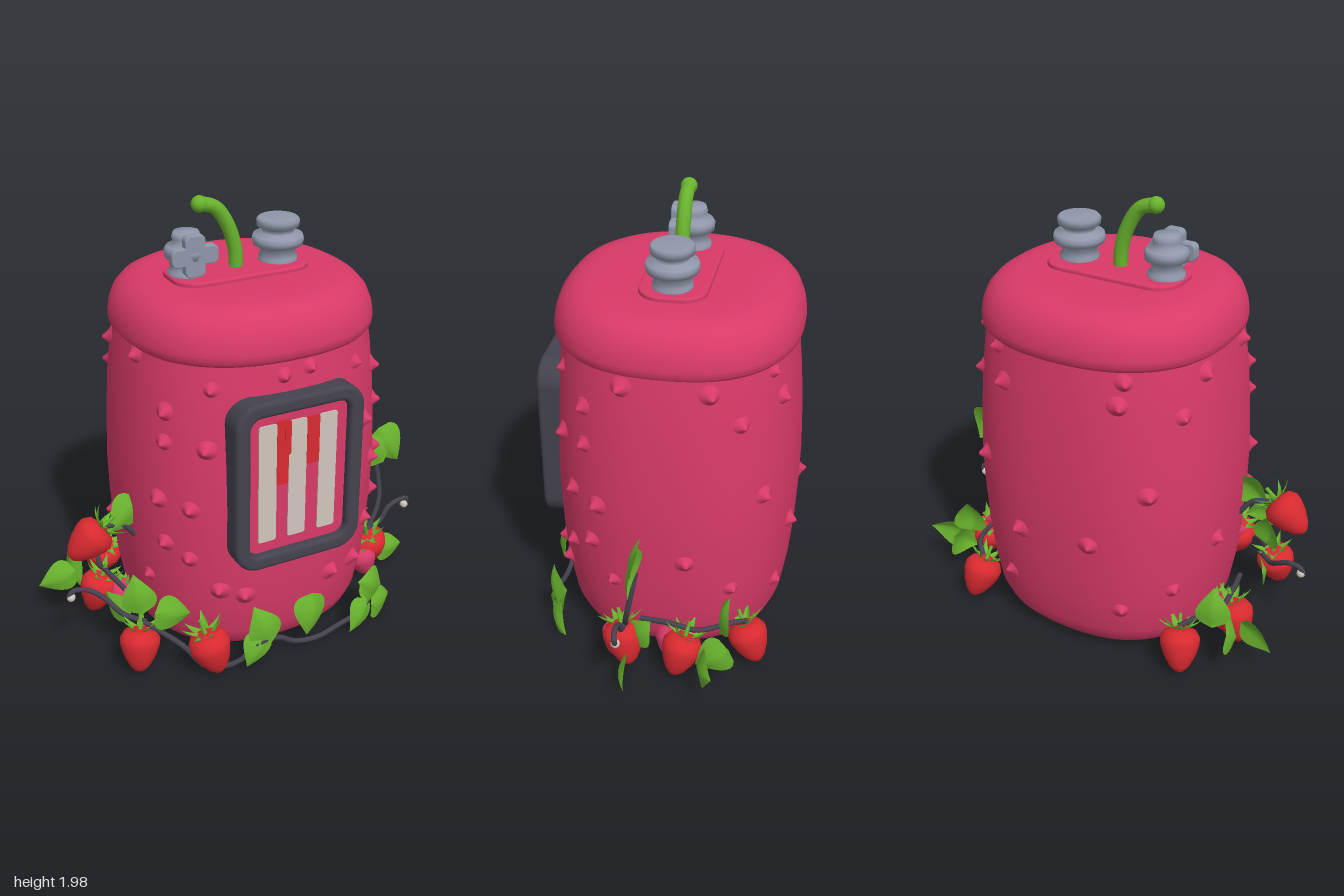
import * as THREE from 'three';
import { mergeVertices } from 'three/addons/utils/BufferGeometryUtils.js';

const mat = (name, color, side = THREE.FrontSide) => {
  const m = new THREE.MeshStandardMaterial({ color, side });
  m.name = name;
  return m;
};
const V = (x, y, z) => new THREE.Vector3(x, y, z);
const pts = (list) => list.map(([x, y]) => new THREE.Vector2(x, y));
const rad = THREE.MathUtils.degToRad;

const CX = 0.015, CZ = -0.035, POWER = 2.35;
// Rounded-square factor that turns a circle into the tank's plan shape
const planScale = (angle, depth) =>
  Math.pow(Math.abs(Math.sin(angle)) ** POWER + Math.abs(Math.cos(angle) / depth) ** POWER, -1 / POWER);

function squareLathe(profile, depth) {
  const g = new THREE.LatheGeometry(pts(profile), 72);
  const p = g.attributes.position;
  for (let i = 0; i < p.count; i++) {
    const f = planScale(Math.atan2(p.getX(i), p.getZ(i)), depth);
    p.setX(i, p.getX(i) * f);
    p.setZ(i, p.getZ(i) * f);
  }
  g.deleteAttribute('uv');
  g.deleteAttribute('normal');
  const merged = mergeVertices(g, 1e-4);
  merged.computeVertexNormals();
  return merged.translate(CX, 0, CZ);
}

function roundedRect(target, w, h, r) {
  target.moveTo(-w + r, -h);
  target.lineTo(w - r, -h).absarc(w - r, -h + r, r, -Math.PI / 2, 0, false);
  target.lineTo(w, h - r).absarc(w - r, h - r, r, 0, Math.PI / 2, false);
  target.lineTo(-w + r, h).absarc(-w + r, h - r, r, Math.PI / 2, Math.PI, false);
  target.lineTo(-w, -h + r).absarc(-w + r, -h + r, r, Math.PI, Math.PI * 1.5, false);
  return target;
}

// Folded, pointed leaf centred on its own middle, tip along +y
function leafGeometry(width) {
  const g = new THREE.PlaneGeometry(2, 1, 6, 10);
  const p = g.attributes.position;
  for (let i = 0; i < p.count; i++) {
    const v = p.getY(i) + 0.5;
    const x = p.getX(i) * width * Math.sin(Math.PI * Math.pow(v, 0.6));
    p.setXYZ(i, x, v - 0.5 - 0.1 * Math.abs(p.getX(i)) * (1 - v), 0.12 - 0.35 * Math.abs(x) - 0.5 * (v - 0.4) ** 2);
  }
  g.computeVertexNormals();
  return g;
}

export function createModel() {
  const root = new THREE.Group();
  const pink = mat('pink', 0xd93a68);
  const red = mat('berry red', 0xd92a30);
  const green = mat('leaf green', 0x69b32d, THREE.DoubleSide);
  const grey = mat('metal grey', 0x8f97aa);
  const dark = mat('dark frame', 0x44424d);
  const cream = mat('cream', 0xd0c7bb);
  const add = (name, geo, material, parent = root) => {
    const m = new THREE.Mesh(geo, material);
    m.name = name;
    parent.add(m);
    return m;
  };
  const tube = (name, points, r, material) =>
    add(name, new THREE.TubeGeometry(new THREE.CatmullRomCurve3(points.map((q) => V(...q))), 28, r, 10), material);

  // Tank body and overhanging cap
  const bodyProfile = [[0, 0.02], [0.34, 0.02], [0.42, 0.022], [0.47, 0.035], [0.51, 0.075], [0.54, 0.14], [0.565, 0.28],
    [0.582, 0.45], [0.592, 0.65], [0.595, 0.8], [0.588, 1.0], [0.575, 1.2], [0.558, 1.35], [0.54, 1.47]];
  add('body', squareLathe(bodyProfile, 0.91), pink);
  add('cap', squareLathe([[0.5, 1.43], [0.54, 1.432], [0.555, 1.45], [0.558, 1.48], [0.55, 1.53], [0.53, 1.58],
    [0.495, 1.62], [0.45, 1.643], [0.4, 1.652], [0.3, 1.655], [0, 1.655]], 0.95), pink);

  // Pointed pimples standing out of the tank wall
  const bumpGeo = new THREE.LatheGeometry(pts([[0.055, -0.012], [0.036, 0.002], [0.022, 0.013], [0.012, 0.026], [0.005, 0.034], [0, 0.035]]), 14);
  const radiusAt = (y) => {
    const i = Math.max(1, bodyProfile.findIndex((q) => q[1] >= y));
    const [a, b] = [bodyProfile[i - 1], bodyProfile[i]];
    return a[0] + ((b[0] - a[0]) * (y - a[1])) / (b[1] - a[1]);
  };
  const bumps = [[36, 1.33], [41, 1.05], [50, 0.82], [47, 0.52], [22, 0.36], [8, 1.38], [38, 0.36], [56, 1.24], [57, 1.07],
    [64, 0.8], [70, 0.42], [74, 1.38], [102, 0.57], [125, 1.22], [136, 0.85], [122, 0.4], [150, 1.26], [112, 1.37],
    [144, 1.4], [160, 0.58], [150, 0.3], [60, 0.6]];
  for (const side of [1, -1]) bumps.forEach(([deg, y0], i) => {
    const y = y0 + (side < 0 ? 0.03 * Math.sin(i * 2.4) : 0);
    const a = rad(deg + (side < 0 ? 3 * Math.cos(i * 1.7) : 0)) * side;
    const r = radiusAt(y) * planScale(a, 0.91);
    const n = V(Math.sin(a), 0, Math.cos(a) / 0.91).normalize();
    const bump = add('bump', bumpGeo, pink);
    bump.position.set(CX + r * Math.sin(a), y, CZ + r * Math.cos(a));
    bump.quaternion.setFromUnitVectors(V(0, 1, 0), n);
    bump.scale.setScalar(0.8 + 0.3 * Math.abs(Math.sin(i * 1.9)));
  });

  // Window: rounded frame, panel, bars and drips
  const win = new THREE.Group();
  win.name = 'window';
  win.position.set(0.01, 0.908, 0);
  root.add(win);
  const frameShape = roundedRect(new THREE.Shape(), 0.28, 0.372, 0.09);
  frameShape.holes.push(roundedRect(new THREE.Path(), 0.252, 0.344, 0.07));
  add('windowFrame', new THREE.ExtrudeGeometry(frameShape, { depth: 0.09, bevelSize: 0.02, bevelThickness: 0.02, bevelSegments: 4, curveSegments: 8 })
    .translate(0, 0, 0.435), dark, win);
  add('windowPanel', new THREE.ExtrudeGeometry(roundedRect(new THREE.Shape(), 0.25, 0.342, 0.07), { depth: 0.07, bevelEnabled: false })
    .translate(0, 0, 0.438), pink, win);
  const plate = (name, x, y, w, h, z, m) => {
    const g = new THREE.ExtrudeGeometry(roundedRect(new THREE.Shape(), w / 2, h / 2, 0.012), { depth: 0.005, bevelEnabled: false });
    add(name, g, m, win).position.set(x, y, z);
  };
  for (const x of [-0.142, -0.002, 0.142]) plate('windowBar', x, 0, 0.084, 0.55, 0.508, cream);
  plate('redDrip', -0.073, 0.135, 0.056, 0.3, 0.509, red);
  plate('redDrip', 0.07, 0.165, 0.06, 0.22, 0.509, red);
  plate('redDrip', -0.05, 0.2, 0.03, 0.16, 0.511, red);

  // Raised deck on top with stem and two metal fittings
  const deck = new THREE.ExtrudeGeometry(roundedRect(new THREE.Shape(), 0.305, 0.135, 0.1), { depth: 0.03, bevelSize: 0.01, bevelThickness: 0.008, bevelSegments: 2 });
  add('topDeck', deck.rotateX(-Math.PI / 2), pink).position.set(0, 1.637, -0.035);
  tube('stem', [[-0.005, 1.65, -0.03], [-0.008, 1.74, -0.03], [-0.04, 1.85, -0.03], [-0.1, 1.94, -0.03], [-0.17, 1.966, -0.03]], 0.031, green);
  add('stemTip', new THREE.SphereGeometry(0.036, 14, 10), green).position.set(-0.172, 1.964, -0.03);
  add('knob', new THREE.LatheGeometry(pts([[0.085, 1.66], [0.085, 1.69], [0.075, 1.695], [0.08, 1.735], [0.108, 1.745], [0.113, 1.765],
    [0.108, 1.785], [0.07, 1.795], [0.07, 1.815], [0.092, 1.825], [0.094, 1.85], [0.085, 1.86], [0, 1.862]]), 24), grey).position.set(0.197, 0, -0.03);
  add('valveBody', new THREE.LatheGeometry(pts([[0.08, 1.66], [0.08, 1.69], [0.062, 1.7], [0.066, 1.74], [0.092, 1.75], [0.095, 1.78],
    [0.085, 1.795], [0.055, 1.805], [0.062, 1.83], [0.055, 1.855], [0, 1.86]]), 24), grey).position.set(-0.23, 0, -0.04);
  const cross = (w, h) => add('valveHandle', new THREE.ExtrudeGeometry(roundedRect(new THREE.Shape(), w, h, 0.02),
    { depth: 0.03, bevelSize: 0.006, bevelThickness: 0.006, bevelSegments: 2 }), grey).position.set(-0.228, 1.77, 0.015);
  cross(0.1, 0.034);
  cross(0.04, 0.085);

  // Strawberries with leafy crowns: x, y, z, lean about x, lean about z, size, material
  const berryGeo = new THREE.LatheGeometry(pts([[0, -0.105], [0.02, -0.1], [0.045, -0.075], [0.07, -0.03], [0.087, 0.02], [0.088, 0.05],
    [0.07, 0.08], [0.035, 0.092], [0, 0.088]]), 20);
  const sepalGeo = leafGeometry(0.16);
  const berry = (x, y, z, rx, rz, s, m) => {
    const g = new THREE.Group();
    g.name = 'strawberry';
    g.position.set(x, y, z);
    g.rotation.set(rx, 0, rz);
    g.scale.setScalar(s);
    root.add(g);
    add('berryFruit', berryGeo, m, g);
    for (let i = 0; i < 7; i++) {
      const arm = new THREE.Group();
      arm.name = 'sepalArm';
      arm.rotation.y = (i * Math.PI * 2) / 7;
      g.add(arm);
      const sepal = add('sepal', sepalGeo, green, arm);
      sepal.scale.setScalar(0.11);
      sepal.position.set(0, 0.105 + 0.012 * (i % 2), 0.05);
      sepal.rotation.x = 1.3 - 0.35 * (i % 2);
    }
    add('berryStalk', new THREE.CylinderGeometry(0.008, 0.01, 0.07, 8), green, g).position.y = 0.12;
  };
  [[-0.79, 0.595, 0.11, 0.1, -0.9, 1], [-0.66, 0.14, 0.34, -0.25, -0.15, 1], [-0.38, 0.125, 0.48, -0.2, 0.25, 1.05],
    [-0.67, 0.14, -0.15, 0.1, -0.3, 1], [-0.54, 0.13, -0.44, 0.4, -0.2, 1], [0.53, 0.13, -0.44, 0.4, 0.2, 1],
    [0.68, 0.14, -0.15, -0.25, 0.3, 1], [0.66, 0.15, 0.1, 0.25, 0.3, 1.02]].forEach((b) => berry(...b, red));
  [[-0.57, 0.12, -0.1, 0.2, -0.3, 0.85], [0.6, 0.11, 0.15, -0.1, 0.3, 0.8], [0.59, 0.12, -0.1, 0, 0.3, 0.85]].forEach((b) => berry(...b, pink));

  // Broad leaves: x, y, z, facing angle, roll (tip up = 0), size
  const leafGeo = leafGeometry(0.46);
  [[-0.62, 0.66, 0.09, 10, 130, 0.18], [-0.63, 0.37, 0.26, -20, 10, 0.17], [-0.53, 0.34, 0.43, 5, -110, 0.17],
    [-0.83, 0.18, -0.27, -15, 110, 0.17], [-0.16, 0.23, 0.53, 0, 20, 0.18], [-0.2, 0.1, 0.54, 0, 150, 0.16],
    [0.08, 0.19, 0.53, 8, 170, 0.19], [0.42, 0.23, 0.48, 30, 60, 0.18], [0.35, 0.085, 0.51, 15, 140, 0.16],
    [0.52, 0.09, 0.44, 30, -100, 0.18], [0.46, 0.2, 0.44, 25, -40, 0.16], [0.65, 0.37, -0.34, 20, 0, 0.17],
    [0.83, 0.19, -0.28, 20, -70, 0.18], [0.81, 0.09, 0.08, 10, -100, 0.16], [0.7, 0.66, 0.04, 0, 30, 0.17],
    [0.8, 0.64, 0.03, -5, -150, 0.2], [-0.65, 0.34, -0.35, 200, 0, 0.17], [0.72, 0.17, -0.29, 80, 130, 0.18],
    [-0.72, 0.17, -0.3, -80, -130, 0.18], [-0.68, 0.24, 0.12, -60, 60, 0.15], [0.68, 0.24, 0.02, 60, -30, 0.15]]
    .forEach(([x, y, z, yaw, roll, s]) => {
      const leaf = add('leaf', leafGeo, green);
      leaf.position.set(x, y, z);
      leaf.rotation.set(-0.15, rad(yaw), rad(roll), 'YXZ');
      leaf.scale.setScalar(s);
    });

  // Woody vines and curling tendrils
  [[[-0.62, 0.24, 0.3], [-0.5, 0.17, 0.45], [-0.42, 0.06, 0.48], [-0.34, 0.03, 0.49], [-0.26, 0.06, 0.52], [-0.18, 0.14, 0.54],
    [-0.08, 0.13, 0.53], [0.02, 0.06, 0.51], [0.14, 0.045, 0.51], [0.26, 0.08, 0.51], [0.36, 0.1, 0.5], [0.47, 0.16, 0.45]],
  [[0.58, 0.18, 0.1], [0.68, 0.28, 0.09], [0.73, 0.38, 0.07], [0.735, 0.48, 0.05], [0.72, 0.6, 0.03]],
  [[0.62, 0.24, 0.1], [0.72, 0.27, 0.1], [0.77, 0.34, 0.1], [0.84, 0.365, 0.1], [0.885, 0.35, 0.09], [0.87, 0.325, 0.09]],
  [[-0.6, 0.22, 0.28], [-0.68, 0.24, 0.2], [-0.74, 0.3, 0.13], [-0.81, 0.345, 0.1], [-0.87, 0.345, 0.09], [-0.885, 0.315, 0.09]],
  [[-0.56, 0.55, 0.08], [-0.62, 0.62, 0.09], [-0.7, 0.64, 0.1]],
  ...[1, -1].map((s) => [[s * 0.6, 0.24, 0.04], [s * 0.63, 0.26, -0.1], [s * 0.63, 0.24, -0.22], [s * 0.58, 0.26, -0.36], [s * 0.52, 0.23, -0.42]])]
    .forEach((p) => tube('vine', p, 0.012, dark));
  for (const [x, y] of [[0.868, 0.325], [-0.875, 0.318]])
    add('tendrilBud', new THREE.SphereGeometry(0.02, 12, 8), cream).position.set(x, y, 0.09);

  return root;
}
